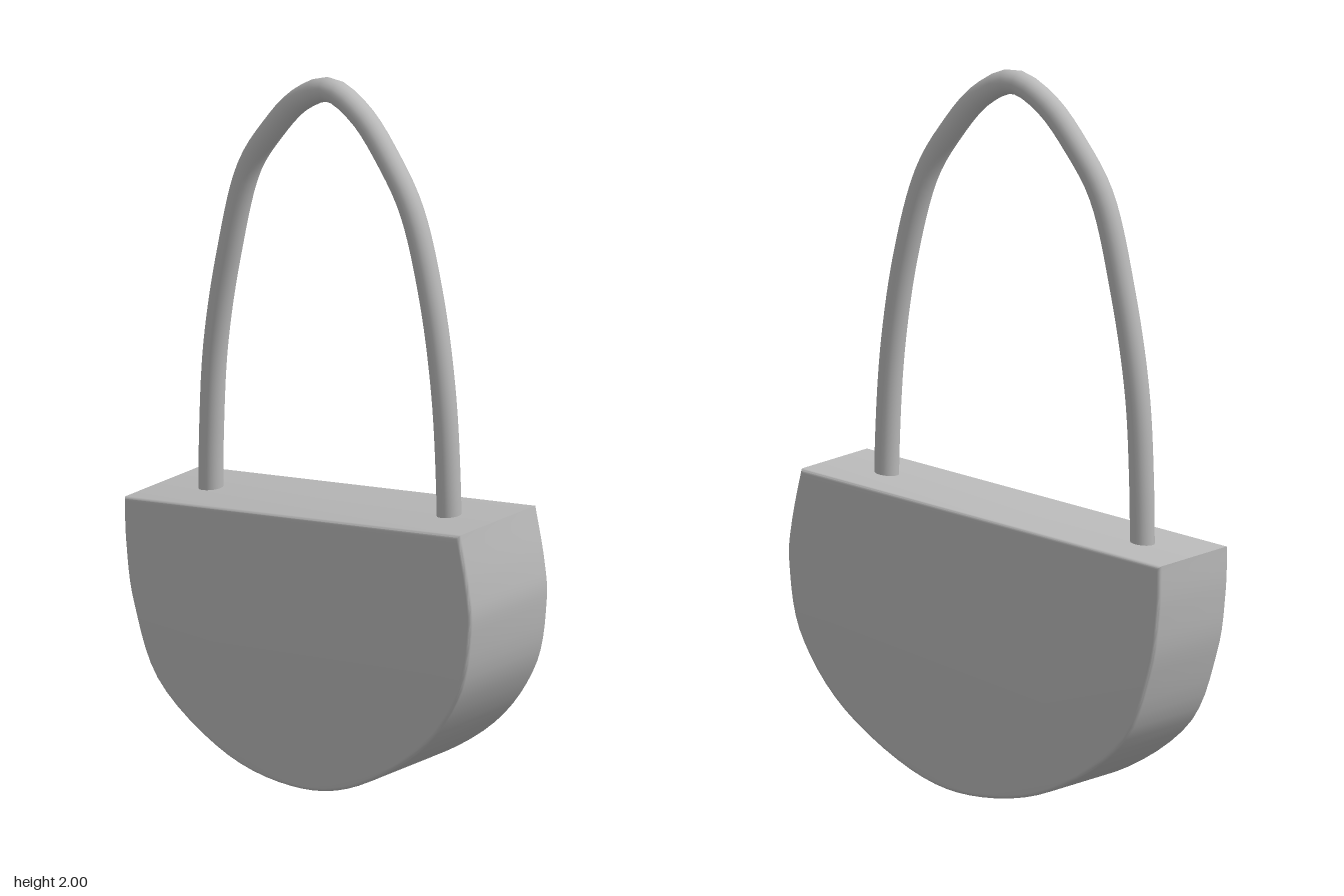
import * as THREE from 'three';
import { toCreasedNormals } from 'three/addons/utils/BufferGeometryUtils.js';

export function createModel() {
  const model = new THREE.Group();
  model.name = 'handbag';
  const grey = new THREE.MeshStandardMaterial({ name: 'grey', color: 0xb8b8b8 });

  // Body: rounded pouch outline (z, y) with a sloping flat top, extruded across x
  const bevel = 0.01, width = 0.34;
  const outline = new THREE.Shape();
  outline.moveTo(0.57, 0.85);
  outline.splineThru([
    [0.602, 0.7], [0.61, 0.58], [0.572, 0.39], [0.435, 0.2], [0.2, 0.045], [-0.01, 0],
    [-0.25, 0.045], [-0.48, 0.2], [-0.572, 0.41], [-0.6, 0.58], [-0.605, 0.71],
  ].map(([z, y]) => new THREE.Vector2(z, y)));
  outline.closePath();
  const bodyGeometry = new THREE.ExtrudeGeometry(outline, {
    depth: width - 2 * bevel, curveSegments: 5,
    bevelThickness: bevel, bevelSize: bevel, bevelOffset: -bevel, bevelSegments: 3,
  });
  bodyGeometry.translate(0, 0, bevel - width / 2);
  bodyGeometry.rotateY(-Math.PI / 2);
  const body = new THREE.Mesh(toCreasedNormals(bodyGeometry, 0.6), grey);
  body.name = 'body';
  model.add(body);

  // Handle: one tall arched tube, its ends sunk into the sloping top
  const path = new THREE.CatmullRomCurve3([
    [0.4, 0.7], [0.398, 0.9], [0.38, 1.18], [0.336, 1.45], [0.268, 1.68], [0.19, 1.805],
    [0.09, 1.917], [-0.015, 1.966], [-0.12, 1.917], [-0.222, 1.805], [-0.302, 1.68],
    [-0.372, 1.42], [-0.418, 1.15], [-0.433, 0.9], [-0.436, 0.6],
  ].map(([z, y]) => new THREE.Vector3(0, y, z)));
  const handle = new THREE.Mesh(new THREE.TubeGeometry(path, 80, 0.034, 20), grey);
  handle.name = 'handle';
  model.add(handle);

  return model;
}
